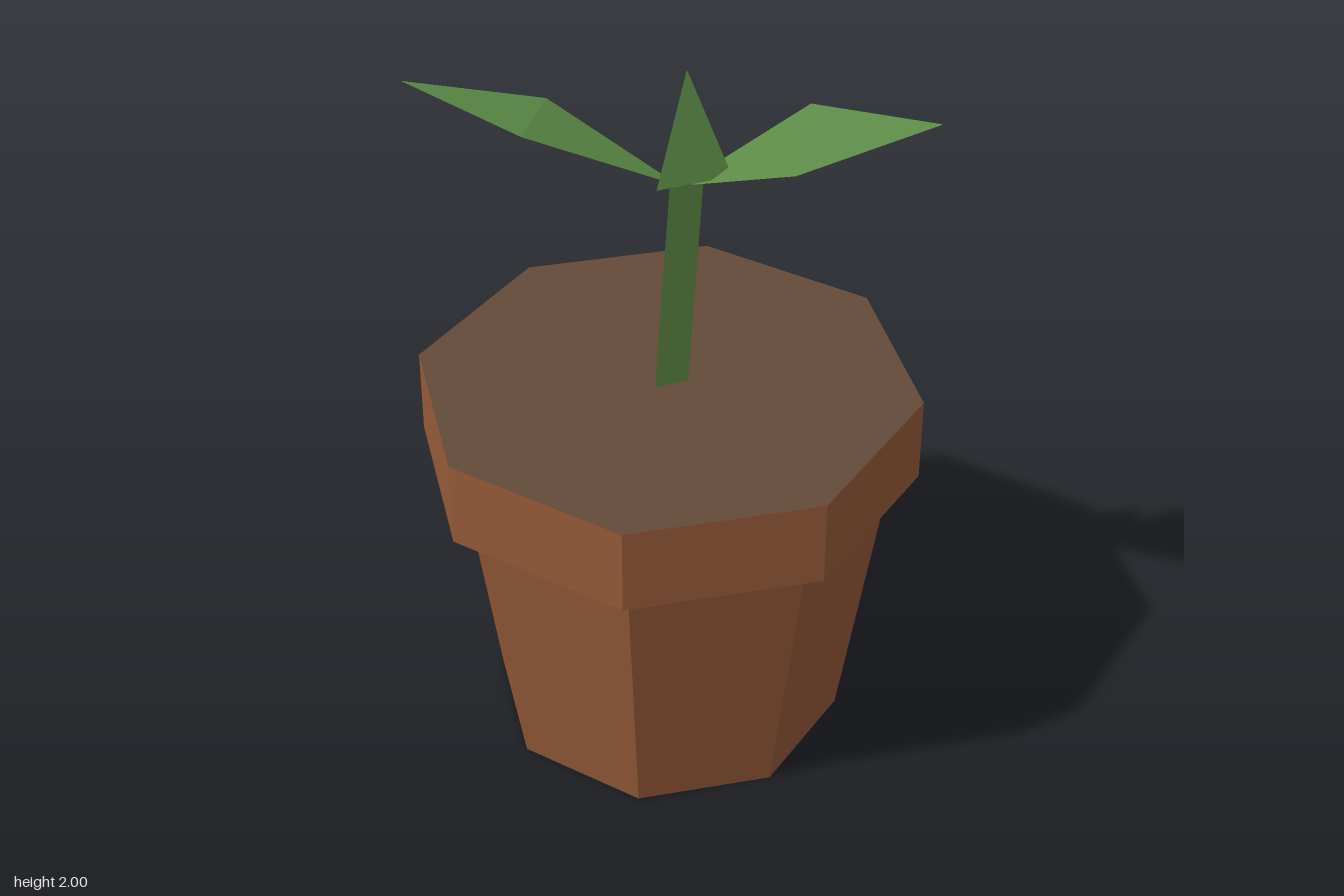
import * as THREE from 'three';

const material = (name, color, side = THREE.FrontSide) => {
  const m = new THREE.MeshStandardMaterial({ color, side, flatShading: true });
  m.name = name;
  return m;
};

export function createModel() {
  const model = new THREE.Group();
  const clay = material('terracotta', 0x945938, THREE.DoubleSide);
  const earth = material('soil', 0x644b3b);
  const shade = material('dark underside', 0x2a221c);
  const green = material('leaf green', 0x5c8a46, THREE.DoubleSide);

  const add = (name, geometry, mat, x = 0, y = 0) => {
    const mesh = new THREE.Mesh(geometry, mat);
    mesh.name = name;
    mesh.position.set(x, y, 0);
    model.add(mesh);
    return mesh;
  };

  // Eight-sided pot, open below, with a wider hollow rim
  add('potBody', new THREE.CylinderGeometry(0.61, 0.488, 0.835, 8, 1, true), clay, 0, 0.4175);
  add('potRim', new THREE.CylinderGeometry(0.682, 0.682, 0.24, 8, 1, true), clay, 0, 0.955);

  // Soil disc and its dark underside
  add('soil', new THREE.CircleGeometry(0.682, 8).rotateX(-Math.PI / 2), earth, 0, 1.075);
  add('soilUnderside', new THREE.CircleGeometry(0.682, 8).rotateX(Math.PI / 2), shade, 0, 1.065);

  // Three-sided stem, sheared so it leans towards +x
  const stem = new THREE.CylinderGeometry(0.052, 0.055, 0.65, 3, 1, false, Math.PI / 2);
  stem.applyMatrix4(new THREE.Matrix4().makeShear(0, 0, 0.062, 0, 0, 0));
  const p = stem.attributes.position;
  if (Math.abs(p.getX(0) - 0.052) < 0.001) {
    for (let i = 0; i < p.count; i++) p.setX(i, p.getX(i) + 0.062 * p.getY(i));
  }
  add('stem', stem, green, 0.02, 1.395);

  // Three-sided bud
  add('bud', new THREE.ConeGeometry(0.117, 0.29, 3, 1, false, Math.PI / 2), green, 0.047, 1.855);

  // Diamond leaves, bent across the middle and twisted
  for (const side of [1, -1]) {
    const base = [0.03, 1.67, 0];
    const tip = [0.68 * side, 1.905, 0];
    const low = [0.34 * side, 1.81, 0.145 * side];
    const high = [0.34 * side, 1.855, -0.145 * side];
    const leaf = new THREE.BufferGeometry();
    leaf.setAttribute('position', new THREE.Float32BufferAttribute(
      [base, low, high, low, tip, high].flat(), 3));
    leaf.computeVertexNormals();
    add(side > 0 ? 'leftLeaf' : 'rightLeaf', leaf, green);
  }
  return model;
}
